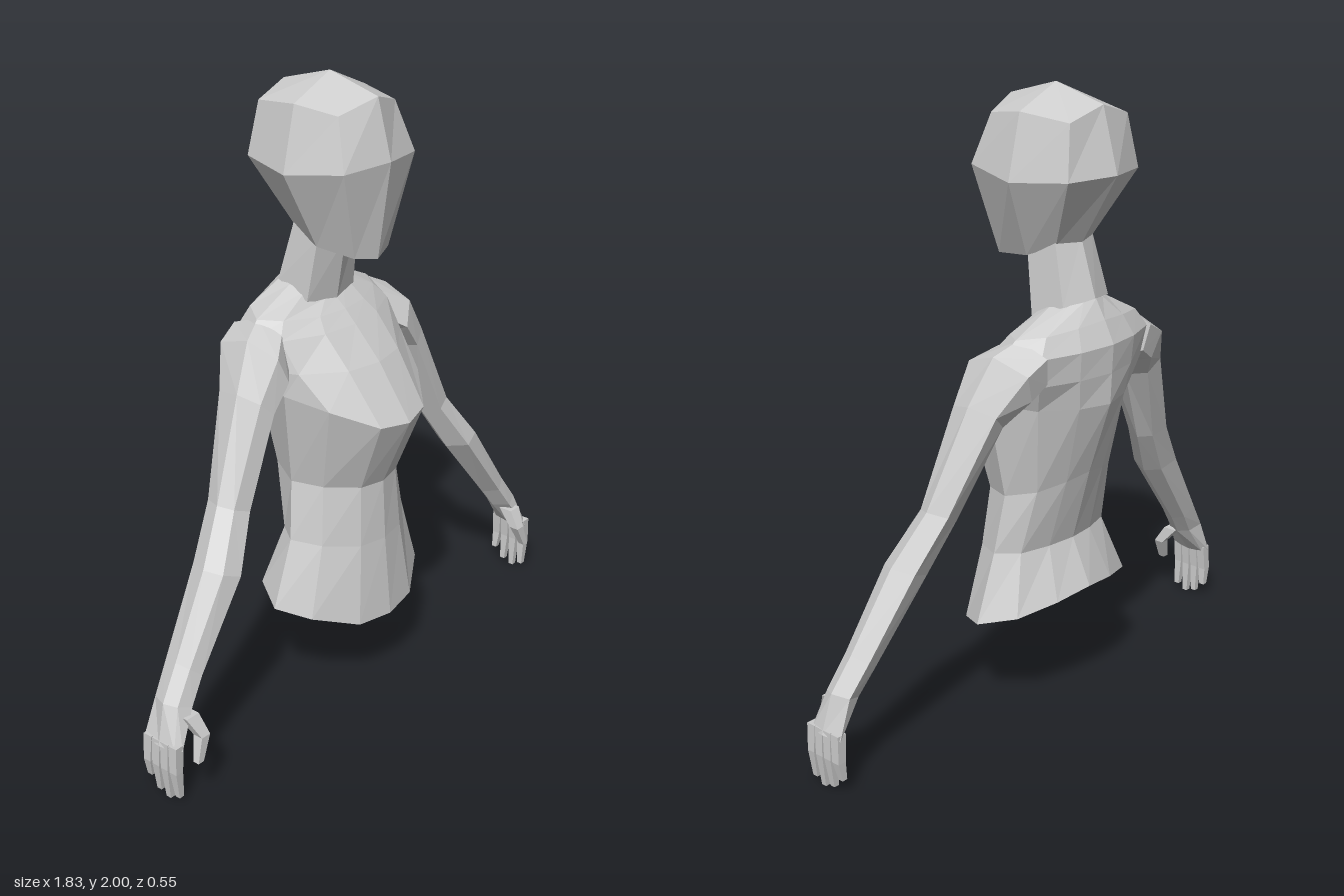
import * as THREE from 'three';

const skin = new THREE.MeshStandardMaterial({ color: 0xcccccc, flatShading: true });
skin.name = 'plain grey';

const mix = (a, b, t) => a + (b - a) * t;

// Closed, flat-shaded skin over a series of rings; an optional apex closes the end in a peak
function loft(name, rings, apex) {
  const centre = (r) => r.reduce((s, p) => s.map((v, k) => v + p[k] / r.length), [0, 0, 0]);
  const n = rings[0].length;
  const last = rings.length - 1;
  const start = centre(rings[0]);
  const end = apex || centre(rings[last]);
  const tris = [];
  for (let j = 0; j < n; j++) {
    const k = (j + 1) % n;
    tris.push([start, rings[0][k], rings[0][j]]);
    tris.push([end, rings[last][j], rings[last][k]]);
    for (let i = 0; i < last; i++) {
      const a = rings[i][j], b = rings[i][k], c = rings[i + 1][k], d = rings[i + 1][j];
      tris.push([a, b, c], [a, c, d]);
    }
  }
  // Turn the skin outwards whatever the ring direction
  let volume = 0;
  for (const [a, b, c] of tris) {
    volume += new THREE.Vector3(...a).dot(new THREE.Vector3(...b).cross(new THREE.Vector3(...c)));
  }
  if (volume < 0) tris.forEach((t) => t.reverse());
  const g = new THREE.BufferGeometry();
  g.setAttribute('position', new THREE.Float32BufferAttribute(tris.flat(2), 3));
  g.computeVertexNormals();
  const mesh = new THREE.Mesh(g, skin);
  mesh.name = name;
  return mesh;
}

// Half ring from front centre round to back centre, completed by mirroring
const whole = (half) => [
  ...half,
  ...half.slice(1, -1).reverse().map(([x, y, z]) => [-x, y, z]),
];

// Torso ring: front y, z; side x, y, z; back y, z, with two rounded points in each quarter
function torsoRing([fy, fz, sx, sy, sz, by, bz]) {
  const front = (w, ty, tz) => [sx * w, mix(fy, sy, ty), mix(fz, sz, tz)];
  const back = (w, ty, tz) => [sx * w, mix(by, sy, ty), mix(bz, sz, tz)];
  return whole([
    front(0, 0, 0), front(0.4, 0.1, 0.1), front(0.82, 0.7, 0.5),
    [sx, sy, sz],
    back(0.8, 0.6, 0.4), back(0.4, 0.25, 0.12), back(0, 0, 0),
  ]);
}

// Six-sided limb section: outer and inner edge in x, y, then front and back z
function limbRing([ox, oy, ix, iy, zf, zb], side) {
  const zm = (zf + zb) / 2;
  const at = (t, z) => [side * mix(ox, ix, t), mix(oy, iy, t), z];
  return [at(0, zm), at(0.22, zf - 0.015), at(0.72, zf), at(1, zm), at(0.78, zb + 0.015), at(0.25, zb)];
}

// Four-sided finger along a path of [x, y, z, half width]
function finger(name, path, side) {
  return loft(name, path.map(([x, y, z, w]) => [
    [side * (x + w), y, z + w], [side * (x - w), y, z + w],
    [side * (x - w), y, z - w], [side * (x + w), y, z - w],
  ]));
}

function makeArm(side, label) {
  const arm = new THREE.Group();
  arm.name = label + 'Arm';
  // Shoulder, elbow, wrist and palm
  const limb = [
    [0.25, 1.28, 0.22, 1.12, -0.01, -0.22],
    [0.33, 1.24, 0.27, 1.08, 0.04, -0.21],
    [0.41, 1.10, 0.325, 1.02, 0.035, -0.15],
    [0.55, 0.80, 0.445, 0.76, 0.045, -0.08],
    [0.66, 0.645, 0.54, 0.60, 0.095, -0.045],
    [0.81, 0.41, 0.74, 0.35, 0.105, -0.01],
    [0.88, 0.31, 0.79, 0.28, 0.115, 0.005],
    [0.915, 0.185, 0.875, 0.18, 0.14, 0],
  ];
  arm.add(loft(label + 'ArmAndPalm', limb.map((s) => limbRing(s, side))));
  // Four curled fingers, fanned slightly in z
  [0.02, 0.003, 0.015, 0.05].forEach((tipY, i) => {
    const baseZ = 0.122 - i * 0.034;
    const tipZ = 0.125 - i * 0.038;
    arm.add(finger(label + 'Finger' + (i + 1), [
      [0.895, 0.2, baseZ, 0.016],
      [0.9, 0.11, (baseZ + tipZ) / 2, 0.014],
      [0.892, tipY, tipZ, 0.009],
    ], side));
  });
  // Thumb
  arm.add(finger(label + 'Thumb', [
    [0.83, 0.27, 0.105, 0.025],
    [0.815, 0.21, 0.15, 0.017],
    [0.845, 0.135, 0.162, 0.011],
  ], side));
  return arm;
}

export function createModel() {
  const model = new THREE.Group();
  model.name = 'figureBust';

  // Torso from hip cut to the base of the neck
  const torso = [
    [0.26, 0.21, 0.325, 0.345, 0, 0.42, -0.185],
    [0.53, 0.185, 0.245, 0.56, 0, 0.57, -0.115],
    [0.73, 0.175, 0.215, 0.75, -0.02, 0.81, -0.18],
    [0.96, 0.275, 0.265, 1.06, 0, 1.05, -0.26],
    [1.13, 0.155, 0.3, 1.14, -0.07, 1.15, -0.265],
    [1.23, 0.06, 0.31, 1.23, -0.1, 1.24, -0.27],
    [1.27, 0.02, 0.26, 1.28, -0.11, 1.31, -0.235],
    [1.3, -0.015, 0.11, 1.35, -0.11, 1.37, -0.2],
  ];
  model.add(loft('torso', torso.map(torsoRing)));

  // Neck leaning forward
  const neck = [
    [[0, 1.29, -0.015], [0.11, 1.31, -0.04], [0.105, 1.355, -0.16], [0, 1.36, -0.2]],
    [[0, 1.5, 0.02], [0.095, 1.51, -0.01], [0.085, 1.55, -0.11], [0, 1.55, -0.14]],
  ];
  model.add(loft('neck', neck.map(whole)));

  // Faceted head with a tapered jaw and peaked crown
  const head = [
    [[0, 1.46, 0.145], [0.08, 1.475, 0.12], [0.1, 1.49, -0.01], [0.08, 1.53, -0.11], [0, 1.535, -0.145]],
    [[0, 1.765, 0.19], [0.165, 1.755, 0.15], [0.21, 1.73, -0.04], [0.16, 1.745, -0.225], [0, 1.75, -0.275]],
    [[0, 1.95, 0.14], [0.13, 1.91, 0.1], [0.16, 1.93, -0.04], [0.13, 1.91, -0.205], [0, 1.95, -0.22]],
  ];
  model.add(loft('head', head.map(whole), [0, 2, -0.04]));

  // Arms and hands
  model.add(makeArm(1, 'left'), makeArm(-1, 'right'));
  return model;
}
